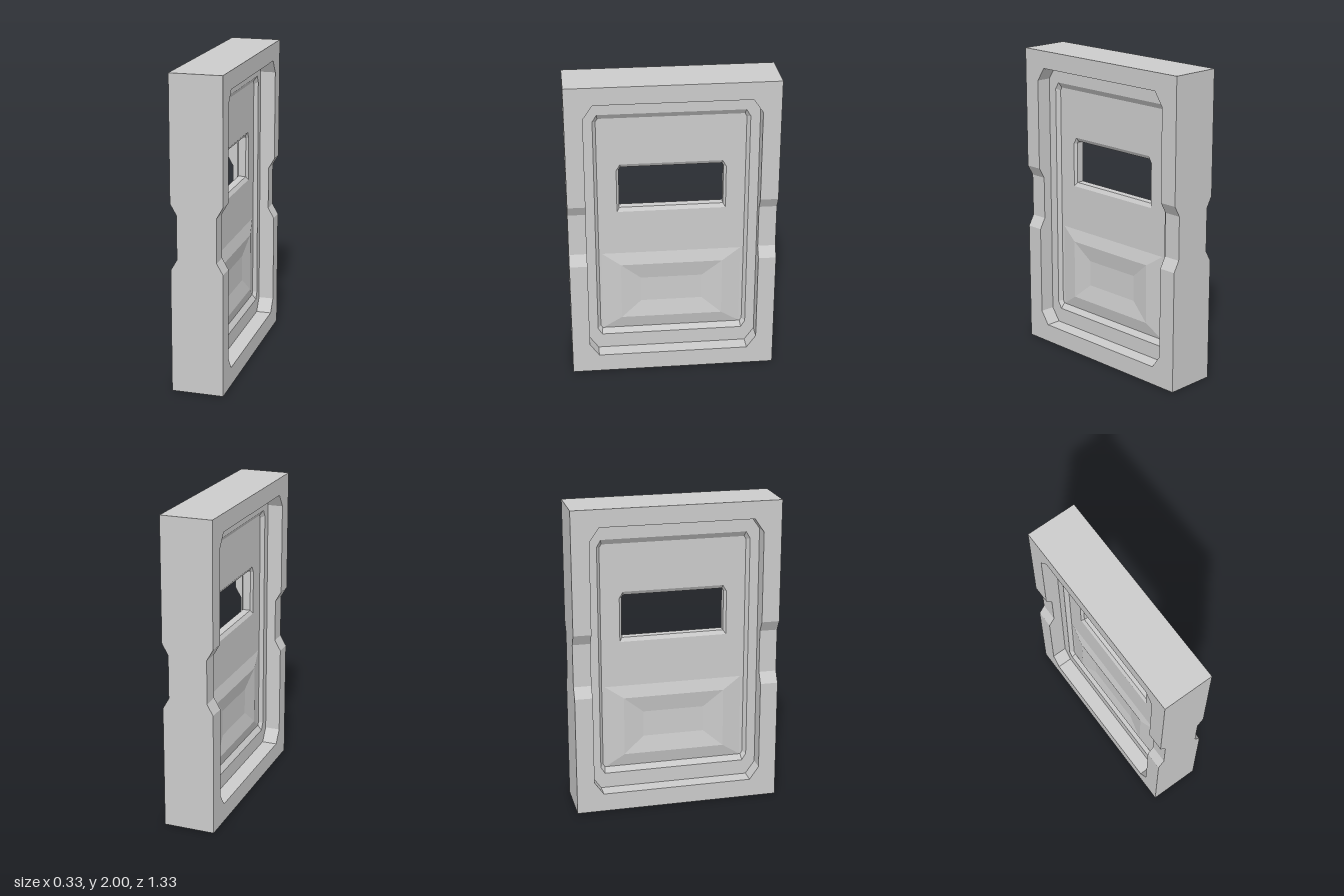
import * as THREE from 'three';

const material = new THREE.MeshStandardMaterial({ color: 0xcccccc, flatShading: true });

function addMesh(parent, name, geometry) {
  const mesh = new THREE.Mesh(geometry, material);
  mesh.name = name;
  parent.add(mesh);
  return mesh;
}

// Counter-clockwise outline, symmetric about the vertical axis, with chamfered corners
function outline(w, y0, y1, top = [0, 0], bottom = [0, 0]) {
  const [tx, ty] = top, [bx, by] = bottom;
  const right = [[w - bx, y0]];
  if (bx) right.push([w, y0 + by]);
  if (tx) right.push([w, y1 - ty]);
  right.push([w - tx, y1]);
  const left = right.map(([x, y]) => [-x, y]).reverse();
  return [...right, ...left].map(([x, y]) => new THREE.Vector2(x, y));
}

// Flat face at a given depth, with optional holes
function face(points, depth, holes = []) {
  const shape = new THREE.Shape(points);
  shape.holes = holes.map((h) => new THREE.Path(h));
  return new THREE.ShapeGeometry(shape).translate(0, 0, depth);
}

// Sloped band from an outer outline to an inner one
function band(outer, outerDepth, inner, innerDepth) {
  const pos = [];
  outer.forEach((a, i) => {
    const j = (i + 1) % outer.length;
    const a1 = outer[j], b = inner[i], b1 = inner[j];
    pos.push(a.x, a.y, outerDepth, a1.x, a1.y, outerDepth, b1.x, b1.y, innerDepth);
    pos.push(a.x, a.y, outerDepth, b1.x, b1.y, innerDepth, b.x, b.y, innerDepth);
  });
  const g = new THREE.BufferGeometry();
  g.setAttribute('position', new THREE.Float32BufferAttribute(pos, 3));
  g.computeVertexNormals();
  return g;
}

const HALF_T = 0.165, HALF_W = 0.665, OPEN_W = 0.55;

function createFrame() {
  const frame = new THREE.Group();
  frame.name = 'frame';

  // Side posts, narrowed at mid height
  const edge = [[HALF_T, 0], [HALF_T, 0.79], [0.125, 0.86], [0.125, 1.14], [HALF_T, 1.21], [HALF_T, 2]];
  const mirrored = edge.map(([x, y]) => [-x, y]).reverse();
  const profile = new THREE.Shape([...edge, ...mirrored].map((p) => new THREE.Vector2(...p)));
  const depth = HALF_W - OPEN_W;
  for (const [name, z] of [['frontPost', OPEN_W], ['backPost', -HALF_W]]) {
    addMesh(frame, name, new THREE.ExtrudeGeometry(profile, { depth, bevelEnabled: false })).position.z = z;
  }

  // Sill and lintel, with chamfers at the corners of the opening
  for (const [name, y, lip, corner] of [['sill', 0, 0.12, 0.205], ['lintel', 2, 1.887, 1.8]]) {
    const shape = new THREE.Shape([
      [-OPEN_W, y], [OPEN_W, y], [OPEN_W, corner], [0.49, lip], [-0.49, lip], [-OPEN_W, corner],
    ].map((p) => new THREE.Vector2(...p)));
    const g = new THREE.ExtrudeGeometry(shape, { depth: 2 * HALF_T, bevelEnabled: false });
    addMesh(frame, name, g.translate(0, 0, -HALF_T).rotateY(Math.PI / 2));
  }
  return frame;
}

// One side of the door, facing +z before it is turned into place
function createDoorSide(name) {
  const side = new THREE.Group();
  side.name = name;
  const RIM = 0.065, PANEL = 0.04, RIDGE = 0.06, HOLE = 0.025;

  const leaf = outline(OPEN_W, 0.12, 1.887, [0.06, 0.087], [0.06, 0.085]);
  const recessOuter = outline(0.49, 0.22, 1.785, [0.027, 0.045], [0.027, 0.045]);
  const recessInner = outline(0.47, 0.255, 1.75, [0.012, 0.02], [0.012, 0.02]);
  const windowOuter = outline(0.348, 1.107, 1.437, [0.025, 0.042]);
  const windowInner = outline(0.332, 1.132, 1.413, [0.01, 0.018]);
  const bossOuter = outline(0.45, 0.257, 0.81);
  const bossRidge = outline(0.33, 0.34, 0.73);
  const bossInner = outline(0.2, 0.45, 0.62);

  addMesh(side, 'doorRim', face(leaf, RIM, [recessOuter]));
  addMesh(side, 'recessBevel', band(recessOuter, RIM, recessInner, PANEL));
  addMesh(side, 'recessedPanel', face(recessInner, PANEL, [windowOuter, bossOuter]));

  // Window opening
  addMesh(side, 'windowBevel', band(windowOuter, PANEL, windowInner, HOLE));
  addMesh(side, 'windowWall', band(windowInner, HOLE, windowInner, 0));

  // Low raised ridge on the lower half
  addMesh(side, 'ridgeOuterSlope', band(bossOuter, PANEL, bossRidge, RIDGE));
  addMesh(side, 'ridgeInnerSlope', band(bossRidge, RIDGE, bossInner, PANEL));
  addMesh(side, 'ridgeCentre', face(bossInner, PANEL));
  return side;
}

export function createModel() {
  const model = new THREE.Group();
  model.name = 'framedDoor';
  model.add(createFrame());
  for (const [name, s] of [['leftDoorSide', 1], ['rightDoorSide', -1]]) {
    const side = createDoorSide(name);
    side.rotation.y = s * Math.PI / 2;
    model.add(side);
  }
  return model;
}
